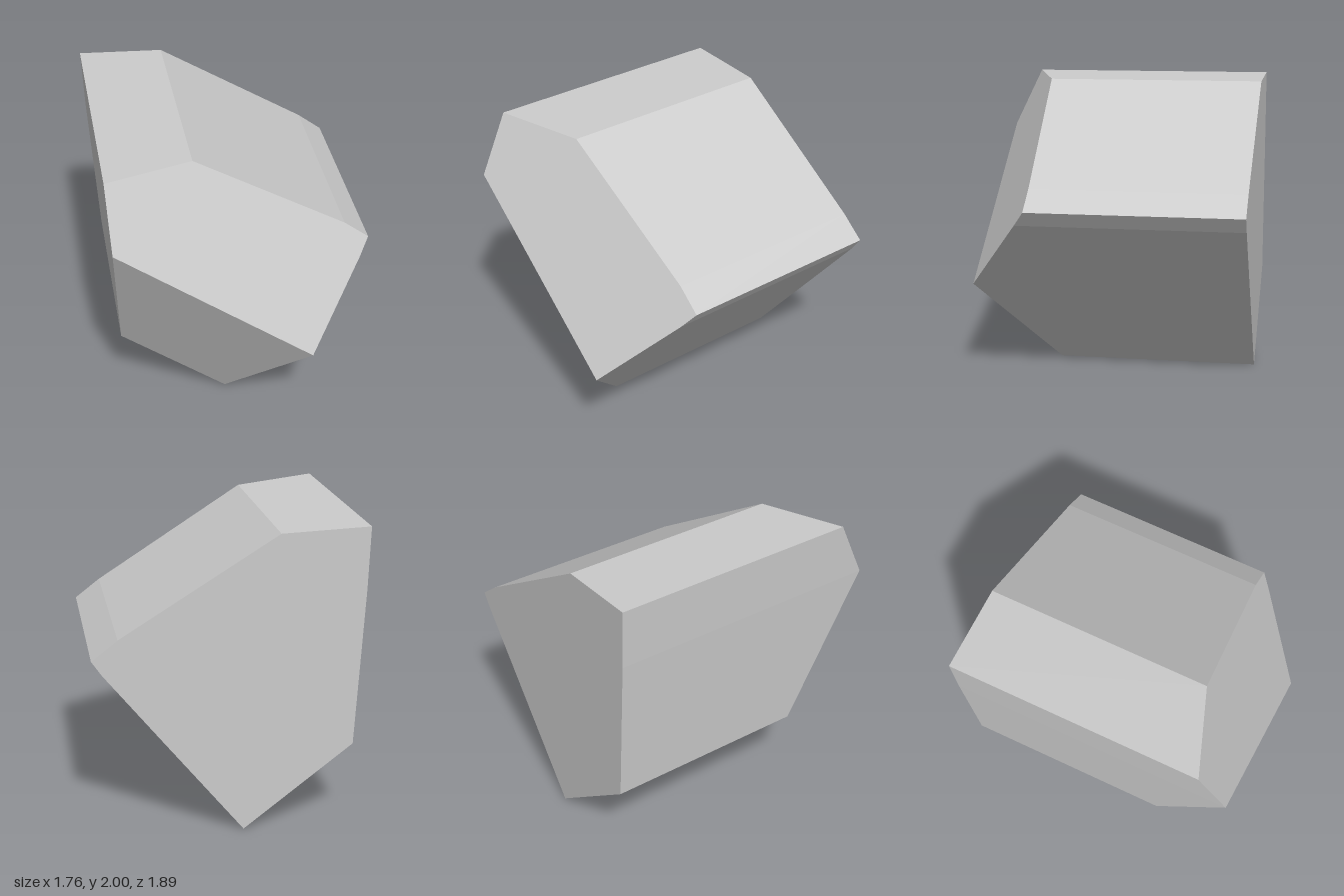
import * as THREE from 'three';
import { ConvexGeometry } from 'three/addons/geometries/ConvexGeometry.js';

const BACK_Z = -0.945, RIDGE_Z = 0.945;

// Prism outline in x, y, counter-clockwise from the lowest corner
const outline = [
  [-0.09, 0], [0.417, 0.625], [0.81, 1.112], [0.877, 1.21], [0.71, 1.34],
  [-0.31, 1.975], [-0.88, 2], [-0.866, 1.595], [-0.807, 0.557],
];
const ridgeA = new THREE.Vector2(...outline[1]);
const ridgeB = new THREE.Vector2(...outline[7]);

// The front falls away from a slanted ridge in two flat facets
function frontZ(x, y) {
  const along = ridgeB.clone().sub(ridgeA).normalize();
  const d = (x - ridgeA.x) * -along.y + (y - ridgeA.y) * along.x;
  return RIDGE_Z - (d < 0 ? 0.625 : 0.632) * Math.abs(d);
}

export function createModel() {
  const points = outline.flatMap(([x, y]) => [
    new THREE.Vector3(x, y, BACK_Z),
    new THREE.Vector3(x, y, frontZ(x, y)),
  ]);
  const block = new THREE.Mesh(
    new ConvexGeometry(points),
    new THREE.MeshStandardMaterial({ color: 0xcccccc, flatShading: true })
  );
  block.name = 'facetedBlock';

  const model = new THREE.Group();
  model.name = 'facetedPrism';
  model.add(block);
  return model;
}
